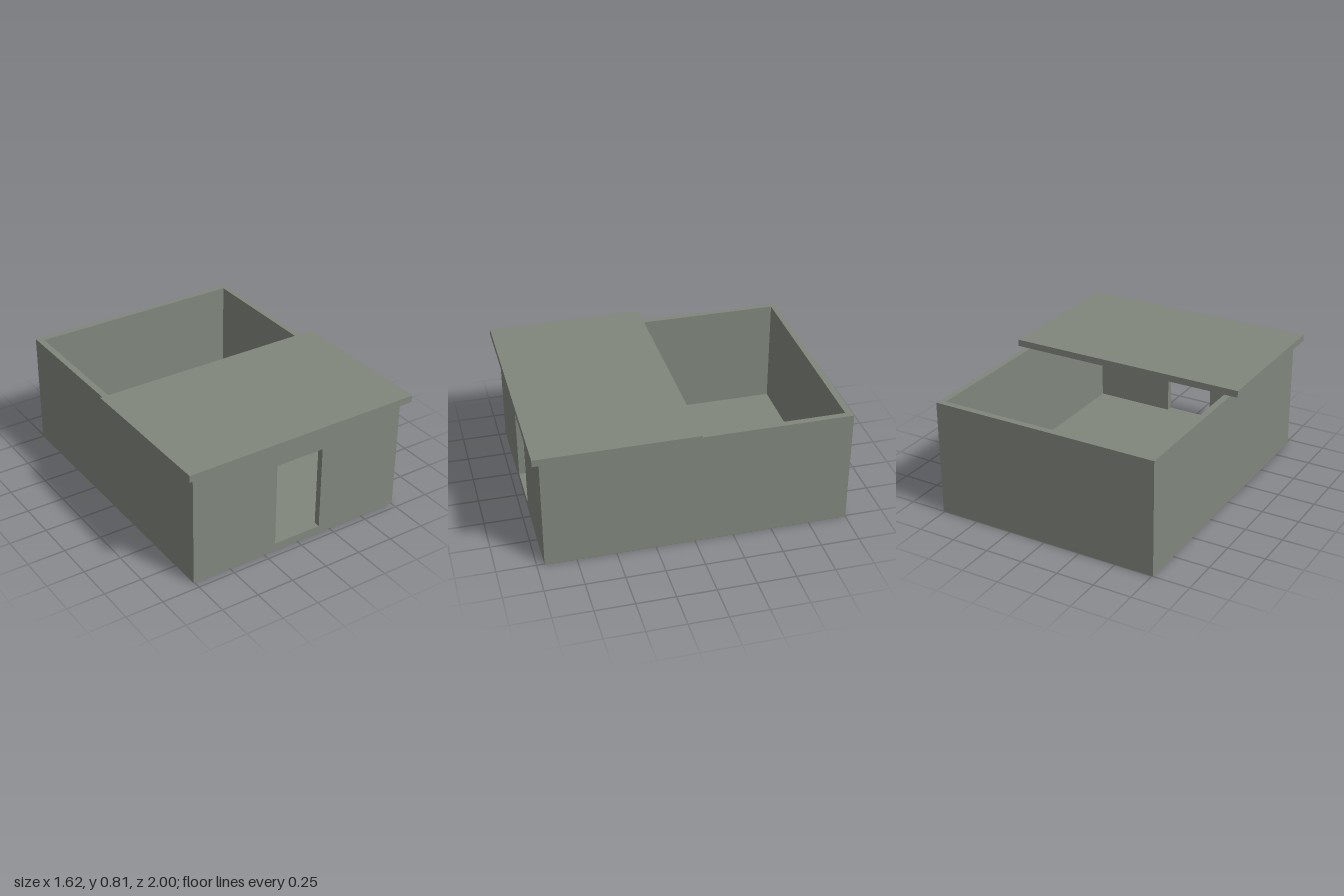
import * as THREE from 'three';

const stone = new THREE.MeshStandardMaterial({ color: 0x80867c });
stone.name = 'grey green stone';

const HALF_W = 0.758, BACK = -1, FRONT = 0.952;
const WALL = 0.042, HEIGHT = 0.766, FLOOR = 0.05;

function rectangle(Type, x0, y0, x1, y1) {
  const r = new Type();
  r.moveTo(x0, y0);
  r.lineTo(x1, y0);
  r.lineTo(x1, y1);
  r.lineTo(x0, y1);
  r.closePath();
  return r;
}

function add(group, name, geometry, x, y, z) {
  const mesh = new THREE.Mesh(geometry, stone);
  mesh.name = name;
  mesh.position.set(x, y, z);
  group.add(mesh);
  return mesh;
}

export function createModel() {
  const model = new THREE.Group();
  model.name = 'openRoofHut';
  const innerW = HALF_W - WALL;
  const innerBack = BACK + WALL, innerFront = FRONT - WALL;

  // Floor slab, fitted between the walls
  add(model, 'floor',
    new THREE.BoxGeometry(innerW * 2, FLOOR, innerFront - innerBack),
    0, FLOOR / 2, (innerFront + innerBack) / 2);

  // Front wall with the doorway cut through, sill level with the floor
  const face = rectangle(THREE.Shape, -HALF_W, 0, HALF_W, HEIGHT);
  face.holes.push(rectangle(THREE.Path, -0.167, FLOOR, 0.167, 0.62));
  add(model, 'frontWall',
    new THREE.ExtrudeGeometry(face, { depth: WALL, bevelEnabled: false }),
    0, 0, innerFront);

  // Side and back walls as one U-shaped plan, drawn with y as -z
  const plan = new THREE.Shape([
    [-HALF_W, -innerFront], [-innerW, -innerFront],
    [-innerW, -innerBack], [innerW, -innerBack],
    [innerW, -innerFront], [HALF_W, -innerFront],
    [HALF_W, -BACK], [-HALF_W, -BACK],
  ].map(([x, y]) => new THREE.Vector2(x, y)));
  const walls = new THREE.ExtrudeGeometry(plan, { depth: HEIGHT, bevelEnabled: false });
  walls.rotateX(-Math.PI / 2);
  add(model, 'sideAndBackWalls', walls, 0, 0, 0);

  // Flat roof slab over the front half, overhanging the walls
  const roofBack = -0.025, roofFront = 1, roofThick = 0.045;
  add(model, 'roof',
    new THREE.BoxGeometry(0.808 * 2, roofThick, roofFront - roofBack),
    0, HEIGHT + roofThick / 2, (roofFront + roofBack) / 2);

  return model;
}
